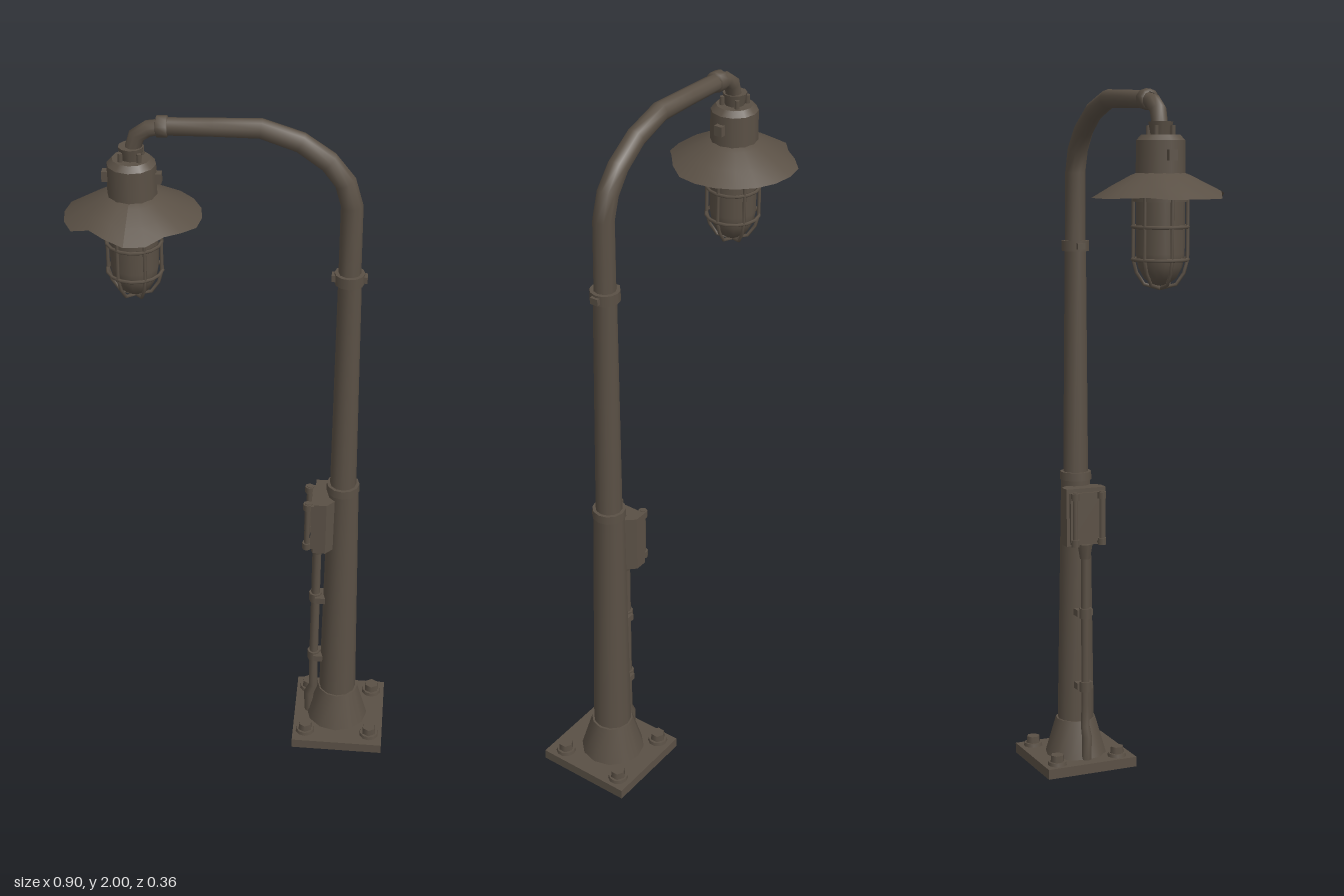
import * as THREE from 'three';

export function createModel() {
  const root = new THREE.Group();
  root.name = 'streetLamp';
  const metal = new THREE.MeshStandardMaterial({ color: 0x5a5045, side: THREE.DoubleSide });
  metal.name = 'weatheredMetal';

  const add = (name, geo, x = 0, y = 0, z = 0, parent = root) => {
    const m = new THREE.Mesh(geo, metal);
    m.name = name;
    m.position.set(x, y, z);
    parent.add(m);
    return m;
  };
  const box = (name, w, h, d, x, y, z, parent) => add(name, new THREE.BoxGeometry(w, h, d), x, y, z, parent);
  // vertical cylinder given by its lower and upper end
  const post = (name, rBottom, rTop, y0, y1, x, z, sides = 12, parent = root) =>
    add(name, new THREE.CylinderGeometry(rTop, rBottom, y1 - y0, sides), x, (y0 + y1) / 2, z, parent);
  // pipe in the xy plane through distinct [x, y, radius] stations
  const pipe = (name, stations, sides = 10, parent = root) => {
    const pos = [], idx = [];
    stations.forEach(([x, y, r], i) => {
      const a = stations[Math.max(i - 1, 0)], b = stations[Math.min(i + 1, stations.length - 1)];
      const len = Math.hypot(b[0] - a[0], b[1] - a[1]);
      const nx = -(b[1] - a[1]) / len, ny = (b[0] - a[0]) / len;
      for (let j = 0; j < sides; j++) {
        const t = (j / sides) * Math.PI * 2, c = r * Math.cos(t);
        pos.push(x + nx * c, y + ny * c, r * Math.sin(t));
        if (i) {
          const k = (j + 1) % sides, p = (i - 1) * sides, q = i * sides;
          idx.push(p + j, q + k, q + j, p + j, p + k, q + k);
        }
      }
    });
    const g = new THREE.BufferGeometry();
    g.setAttribute('position', new THREE.Float32BufferAttribute(pos, 3));
    g.setIndex(idx);
    g.computeVertexNormals();
    return add(name, g, 0, 0, 0, parent);
  };
  const points = (list) => list.map(([a, b]) => new THREE.Vector2(a, b));

  // base plate with four hex bolts
  box('basePlate', 0.27, 0.03, 0.285, 0.315, 0.015, 0.002);
  for (const x of [0.217, 0.411]) for (const z of [-0.098, 0.096]) {
    post('boltWasher', 0.029, 0.027, 0.03, 0.04, x, z, 10);
    post('boltHead', 0.022, 0.02, 0.04, 0.06, x, z, 6);
  }

  // pole
  post('poleFoot', 0.092, 0.06, 0.03, 0.14, 0.308, 0);
  pipe('lowerPole', [[0.307, 0.13, 0.055], [0.301, 0.89, 0.043]], 12);
  post('lowerCollar', 0.047, 0.046, 0.873, 0.897, 0.3, 0);
  pipe('upperPole', [[0.3, 0.89, 0.037], [0.296, 1.56, 0.031]], 12);
  post('upperCollar', 0.04, 0.04, 1.545, 1.575, 0.295, 0);
  for (const s of [-1, 1]) box('collarBolt', 0.014, 0.018, 0.024, 0.295 + s * 0.04, 1.56, 0);

  // curved arm, end sleeve and elbow
  pipe('arm', [[0.295, 1.56, 0.03], [0.294, 1.77, 0.029], [0.275, 1.835, 0.029], [0.232, 1.89, 0.028],
    [0.16, 1.94, 0.027], [0.06, 1.973, 0.026], [-0.06, 1.971, 0.024], [-0.2, 1.967, 0.023]]);
  pipe('armSleeve', [[-0.174, 1.968, 0.02], [-0.177, 1.968, 0.028], [-0.203, 1.967, 0.028], [-0.206, 1.967, 0.02]]);
  pipe('elbow', [[-0.19, 1.967, 0.02], [-0.225, 1.96, 0.022], [-0.255, 1.94, 0.022], [-0.27, 1.89, 0.021]]);

  // lamp head, centred on its own axis
  const lamp = new THREE.Group();
  lamp.name = 'lampHead';
  lamp.position.set(-0.271, 0, 0);
  root.add(lamp);
  post('neckCollar', 0.026, 0.033, 1.872, 1.91, 0, 0, 10, lamp);
  for (let i = 0; i < 4; i++) {
    const a = Math.PI / 4 + i * Math.PI / 2;
    post('neckBolt', 0.007, 0.007, 1.87, 1.9, 0.034 * Math.cos(a), 0.034 * Math.sin(a), 6, lamp);
  }
  post('housingCap', 0.064, 0.05, 1.862, 1.877, 0, 0, 12, lamp);
  post('housing', 0.065, 0.064, 1.77, 1.862, 0, 0, 12, lamp);
  for (const s of [-1, 1]) box('housingLug', 0.02, 0.028, 0.024, s * 0.067, 1.825, 0, lamp);

  // shade with a battered rim
  const shade = new THREE.LatheGeometry(points([[0.18, 1.715], [0.13, 1.745], [0.08, 1.772], [0.06, 1.78]]), 20);
  const p = shade.attributes.position;
  const dents = [[-0.75, -0.66, 0.025, 0.004], [-0.53, 0.85, 0.02, 0.018], [0.65, 0.76, 0.014, 0.012]];
  for (let i = 0; i < p.count; i++) {
    const x = p.getX(i), y = p.getY(i), z = p.getZ(i), r = Math.hypot(x, z);
    for (const [dx, dz, push, lift] of dents) {
      const w = Math.max(0, ((x * dx + z * dz) / r - 0.93) / 0.07) * Math.max(0, (r - 0.1) / 0.08);
      if (w > 0) p.setXYZ(i, x * (1 - w * push / r), y + w * lift, z * (1 - w * push / r));
    }
  }
  shade.computeVertexNormals();
  add('shade', shade, 0, 0, 0, lamp);

  // jar and wire cage
  const jar = points([[0, 1.486], [0.02, 1.489], [0.042, 1.505], [0.058, 1.535], [0.064, 1.57], [0.064, 1.775]]);
  add('jar', new THREE.LatheGeometry(jar, 14), 0, 0, 0, lamp);
  post('jarCollar', 0.073, 0.073, 1.705, 1.735, 0, 0, 14, lamp);
  for (const y of [1.64, 1.555])
    add('cageRing', new THREE.TorusGeometry(0.073, 0.005, 5, 16), 0, y, 0, lamp).rotation.x = Math.PI / 2;
  for (let i = 0; i < 6; i++) {
    const wire = pipe('cageWire', [[0.071, 1.72, 0.005], [0.071, 1.555, 0.005], [0.062, 1.52, 0.005],
      [0.042, 1.49, 0.005], [0, 1.479, 0.005]], 5, lamp);
    wire.rotation.y = i * Math.PI / 3;
  }

  // switch box on the pole
  const plan = new THREE.Shape(points([[0.222, -0.062], [0.258, -0.062], [0.282, -0.035], [0.282, 0.035],
    [0.258, 0.062], [0.222, 0.062]]));
  const cabinet = new THREE.ExtrudeGeometry(plan, { depth: 0.17, bevelEnabled: false });
  cabinet.rotateX(-Math.PI / 2);
  add('switchBox', cabinet, 0, 0.688, 0);
  box('switchBoxDoor', 0.01, 0.145, 0.105, 0.219, 0.773, 0);
  for (const z of [-0.042, 0.042]) {
    post('doorRod', 0.008, 0.008, 0.69, 0.85, 0.204, z, 8);
    for (const y of [0.7, 0.838]) {
      post('rodKnob', 0.013, 0.013, y - 0.01, y + 0.01, 0.204, z, 8);
      box('rodBracket', 0.03, 0.014, 0.016, 0.216, y, z);
    }
  }

  // cable conduit with clamps
  pipe('conduit', [[0.232, 0.69, 0.013], [0.232, 0.2, 0.013], [0.234, 0.13, 0.014], [0.222, 0.1, 0.016],
    [0.225, 0.03, 0.016]], 8);
  post('conduitFitting', 0.016, 0.024, 0.645, 0.69, 0.232, 0, 8);
  for (const y of [0.48, 0.255]) {
    post('conduitClamp', 0.019, 0.019, y - 0.015, y + 0.015, 0.232, 0, 8);
    box('clampStrap', 0.04, 0.02, 0.05, 0.252, y, 0);
  }
  return root;
}
